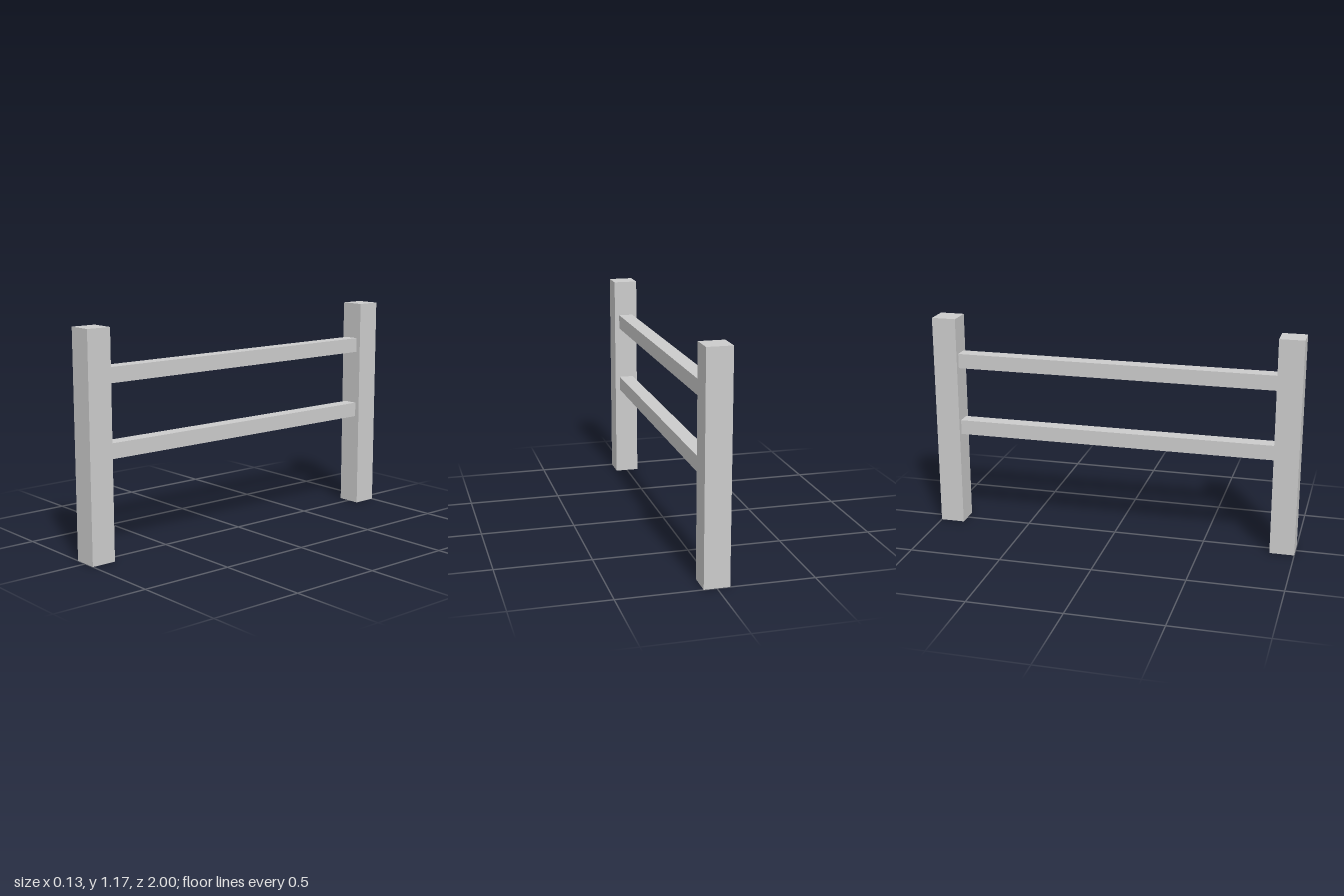
import * as THREE from 'three';

const material = new THREE.MeshStandardMaterial({ color: 0xcccccc, flatShading: true, side: THREE.DoubleSide });

// Box with some sides left open (0:+x 1:-x 2:+y 3:-y 4:+z 5:-z)
function openBox(w, h, d, openSides) {
  const geometry = new THREE.BoxGeometry(w, h, d);
  const index = Array.from(geometry.index.array);
  geometry.setIndex(index.filter((_, i) => !openSides.includes(Math.floor(i / 6))));
  geometry.clearGroups();
  return geometry;
}

export function createModel() {
  const group = new THREE.Group();
  group.name = 'fence';
  const postWidth = 0.132, postHeight = 1.175, railSize = 0.08;

  const add = (name, geometry, y, z) => {
    const mesh = new THREE.Mesh(geometry, material);
    mesh.name = name;
    mesh.position.set(0, y, z);
    group.add(mesh);
  };

  // Square posts, open underneath
  const post = openBox(postWidth, postHeight, postWidth, [3]);
  add('frontPost', post, postHeight / 2, 1 - postWidth / 2);
  add('backPost', post, postHeight / 2, -1 + postWidth / 2);

  // Horizontal rails butting against the inner post faces
  const rail = openBox(railSize, railSize, 2 - 2 * postWidth, [4, 5]);
  add('lowerRail', rail, 0.557, 0);
  add('upperRail', rail, 0.936, 0);

  return group;
}
